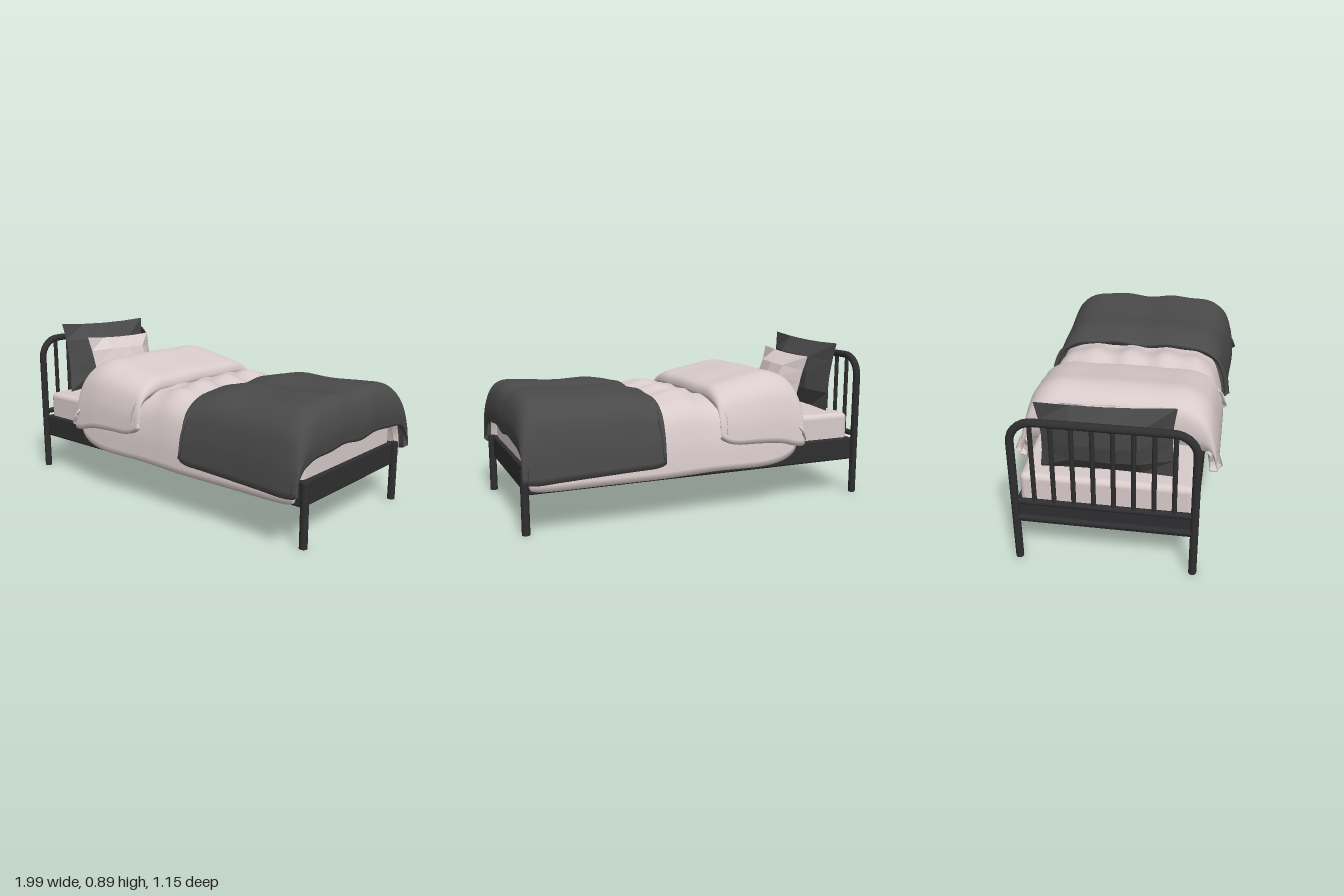
import * as THREE from 'three';
import { RoundedBoxGeometry } from 'three/addons/geometries/RoundedBoxGeometry.js';

const material = (color, extra = {}) => new THREE.MeshStandardMaterial({ color, ...extra });
const metal = material(0x2f2f31);
const linen = material(0xd9cbcb);
const throwCloth = material(0x4a4a4a);
const linenFacet = material(0xd9cbcb, { flatShading: true });
const darkFacet = material(0x4a4a4a, { flatShading: true });

function add(group, name, geometry, mat, x = 0, y = 0, z = 0) {
  const mesh = new THREE.Mesh(geometry, mat);
  mesh.name = name;
  mesh.position.set(x, y, z);
  group.add(mesh);
  return mesh;
}

// Half cross-section of draped cloth: [fraction of half width, fraction of drop]
const HALF = [[0, 0], [0.35, 0], [0.66, 0.02], [0.86, 0.2], [0.96, 0.55], [1, 1]];

// Thick cloth hung over the bed; rows are [x, top y, hem y, half width]
function drape(rows, thickness, wave) {
  const shape = new THREE.CatmullRomCurve3(rows.map(r => new THREE.Vector3(r[0], r[1], r[2])), false, 'catmullrom');
  const width = new THREE.CatmullRomCurve3(rows.map(r => new THREE.Vector3(r[3], 0, 0)), false, 'catmullrom');
  const fractions = [...HALF].reverse().concat(HALF.slice(1).map(([z, d]) => [-z, d]));
  const section = new THREE.CatmullRomCurve3(fractions.map(([z, d]) => new THREE.Vector3(0, d, z)));
  const nu = 60, nv = 56, M = nv + 1, N = (nu + 1) * M;
  const pos = [], index = [];
  for (let i = 0; i <= nu; i++) {
    const s = shape.getPoint(i / nu), w = width.getPoint(i / nu).x;
    for (let j = 0; j <= nv; j++) {
      const f = section.getPoint(j / nv), z = f.z * w;
      const y = s.y + (s.z - s.y) * f.y;
      pos.push(s.x, y + wave(s.x, z) * Math.max(0, 1 - (z / 0.45) ** 2), z);
    }
  }
  for (let i = 0; i < nu; i++) {
    for (let j = 0; j < nv; j++) {
      const a = i * M + j, b = a + 1, c = a + M, d = c + 1;
      index.push(a, c, b, b, c, d);
    }
  }
  const outer = new THREE.BufferGeometry();
  outer.setAttribute('position', new THREE.Float32BufferAttribute(pos, 3));
  outer.setIndex(index);
  outer.computeVertexNormals();

  // Inner layer and rounded hem
  const n = outer.attributes.normal.array;
  const all = pos.concat(pos.map((p, k) => p - n[k] * thickness));
  const faces = [...index];
  for (let k = 0; k < index.length; k += 3) faces.push(index[k] + N, index[k + 2] + N, index[k + 1] + N);
  const rim = (p, q) => faces.push(q, p, p + N, q, p + N, q + N);
  for (let i = 0; i < nu; i++) {
    rim(i * M, (i + 1) * M);
    rim((i + 1) * M + nv, i * M + nv);
  }
  for (let j = 0; j < nv; j++) {
    rim(nu * M + j, nu * M + j + 1);
    rim(j + 1, j);
  }
  const cloth = new THREE.BufferGeometry();
  cloth.setAttribute('position', new THREE.Float32BufferAttribute(all, 3));
  cloth.setIndex(faces);
  cloth.computeVertexNormals();
  return cloth;
}

// Faceted pillow, thick in the middle and pinched to a thin edge
function pillow(thickness, height, width) {
  const g = new THREE.BoxGeometry(2, 2, 2, 1, 4, 4);
  const p = g.attributes.position;
  for (let i = 0; i < p.count; i++) {
    const v = p.getY(i), u = p.getZ(i);
    const puff = Math.sqrt((1 - u * u) * (1 - v * v));
    p.setXYZ(i, p.getX(i) * thickness / 2 * puff,
      v * height / 2 * (1 - 0.06 * (1 - u * u)) + 0.012 * u * (v > 0 ? 1 : 0),
      u * width / 2 * (1 - 0.06 * (1 - v * v)));
  }
  g.computeVertexNormals();
  return g;
}

export function createModel() {
  const bed = new THREE.Group();
  bed.name = 'bed';

  // Base, mattress and foot legs
  add(bed, 'base', new RoundedBoxGeometry(1.92, 0.13, 0.89, 2, 0.012), metal, 0, 0.265, 0);
  add(bed, 'mattress', new RoundedBoxGeometry(1.88, 0.175, 0.85, 4, 0.03), linen, 0.0, 0.388, 0);
  for (const side of [-1, 1]) {
    add(bed, 'footLeg', new THREE.CylinderGeometry(0.021, 0.021, 0.33, 14), metal, 0.965, 0.165, side * 0.439);
  }

  // Headboard: bent tube, lower rail and spindles
  const headboard = new THREE.Group();
  headboard.name = 'headboard';
  headboard.position.x = -0.98;
  bed.add(headboard);
  const v = (y, z) => new THREE.Vector3(0, y, z);
  const path = new THREE.CurvePath();
  path.add(new THREE.LineCurve3(v(0, 0.439), v(0.69, 0.439)));
  path.add(new THREE.CubicBezierCurve3(v(0.69, 0.439), v(0.754, 0.439), v(0.804, 0.388), v(0.804, 0.325)));
  path.add(new THREE.LineCurve3(v(0.804, 0.325), v(0.804, -0.325)));
  path.add(new THREE.CubicBezierCurve3(v(0.804, -0.325), v(0.804, -0.388), v(0.754, -0.439), v(0.69, -0.439)));
  path.add(new THREE.LineCurve3(v(0.69, -0.439), v(0, -0.439)));
  add(headboard, 'headFrame', new THREE.TubeGeometry(path, 90, 0.02, 14), metal);
  for (const side of [-1, 1]) {
    add(headboard, 'headFoot', new THREE.CylinderGeometry(0.02, 0.02, 0.02, 14), metal, 0, 0.01, side * 0.439);
  }
  const rail = new THREE.CylinderGeometry(0.016, 0.016, 0.87, 12).rotateX(Math.PI / 2);
  add(headboard, 'lowerRail', rail, metal, 0, 0.35, 0);
  add(headboard, 'baseRail', rail, metal, 0, 0.25, 0);
  for (let i = 0; i < 8; i++) {
    add(headboard, 'spindle', new THREE.CylinderGeometry(0.012, 0.012, 0.45, 10), metal, 0, 0.575, (i - 3.5) * 0.097);
  }

  // Pillows leaning on the headboard
  add(bed, 'backPillow', pillow(0.14, 0.41, 0.67), darkFacet, -0.88, 0.68, 0).rotation.z = 0.14;
  add(bed, 'frontPillow', pillow(0.19, 0.34, 0.5), linenFacet, -0.725, 0.64, 0).rotation.z = 0.27;

  // Duvet with soft lengthwise rolls in the middle
  add(bed, 'duvet', drape([
    [-0.57, 0.5, 0.45, 0.5], [-0.55, 0.6, 0.36, 0.51], [-0.5, 0.63, 0.28, 0.515],
    [-0.35, 0.62, 0.24, 0.52], [-0.05, 0.61, 0.24, 0.52], [0.1, 0.64, 0.235, 0.52],
    [0.27, 0.61, 0.23, 0.52], [0.6, 0.62, 0.23, 0.52], [0.85, 0.62, 0.23, 0.52],
    [0.94, 0.58, 0.24, 0.52], [0.96, 0.5, 0.26, 0.51],
  ], 0.03, (x, z) => 0.018 * Math.cos(z * 30 + 1) * Math.exp(-(((x - 0.1) / 0.18) ** 2))), linen);

  // Turned-back top of the duvet
  add(bed, 'duvetFold', drape([
    [-0.565, 0.46, 0.4, 0.505], [-0.588, 0.55, 0.36, 0.52], [-0.578, 0.66, 0.335, 0.525],
    [-0.53, 0.71, 0.335, 0.528], [-0.43, 0.735, 0.36, 0.53], [-0.3, 0.713, 0.37, 0.53],
    [-0.16, 0.685, 0.375, 0.53], [-0.09, 0.662, 0.4, 0.53], [-0.068, 0.62, 0.43, 0.525],
    [-0.08, 0.585, 0.46, 0.51],
  ], 0.035, (x, z) => 0.003 * Math.cos(z * 14)), linen);

  // Blanket folded over the foot end
  add(bed, 'blanket', drape([
    [0.262, 0.6, 0.34, 0.525], [0.25, 0.635, 0.315, 0.535], [0.3, 0.65, 0.295, 0.54],
    [0.42, 0.672, 0.29, 0.54], [0.6, 0.665, 0.285, 0.545], [0.8, 0.675, 0.28, 0.555],
    [0.91, 0.675, 0.275, 0.557], [0.968, 0.63, 0.28, 0.555], [0.993, 0.54, 0.29, 0.55],
    [0.988, 0.445, 0.3, 0.545],
  ], 0.03, (x, z) => 0.009 * Math.cos(z * 19 + 2.6 + x)), throwCloth);

  return bed;
}
